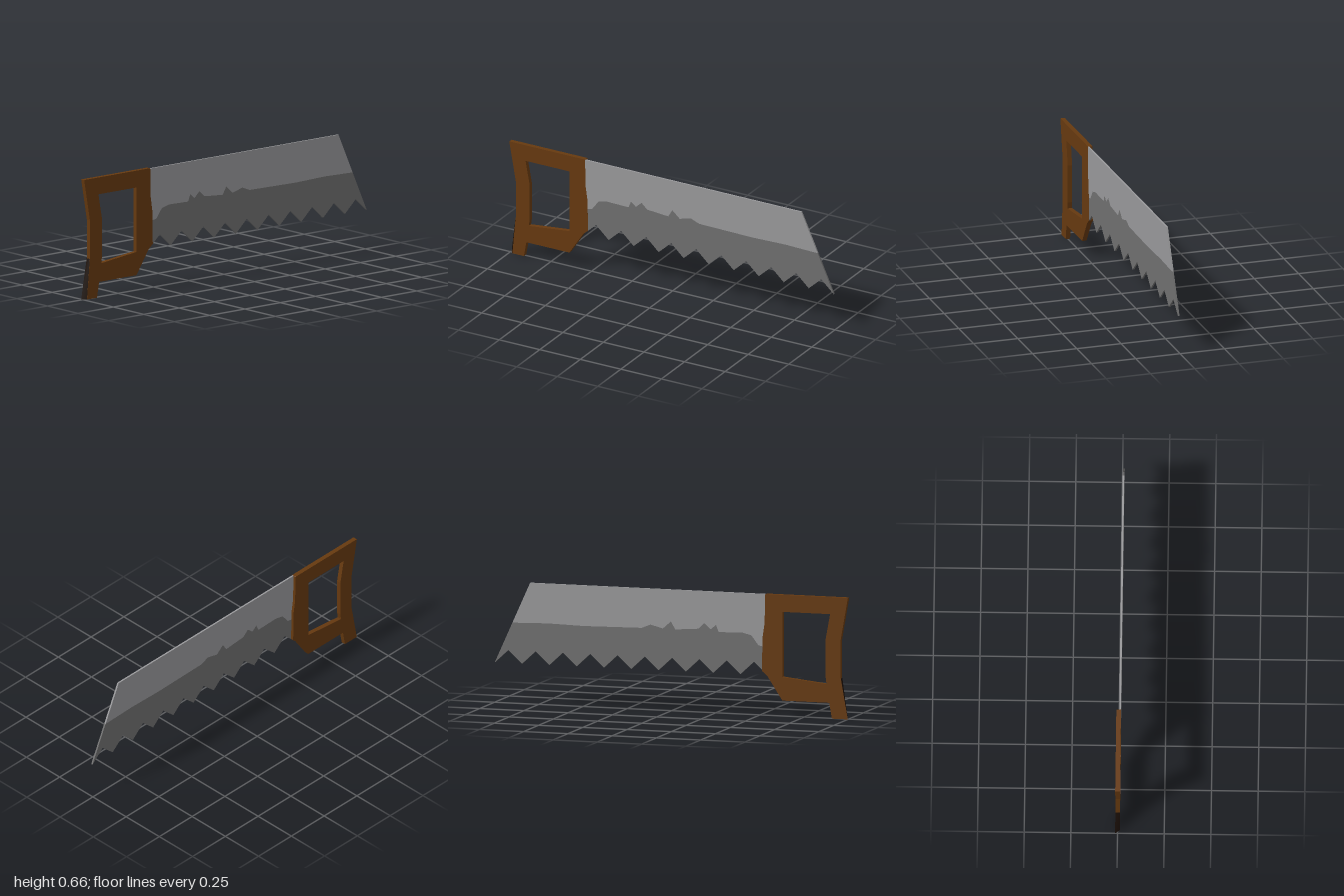
import * as THREE from 'three';

const FRONT = 0.0125, BACK = -0.0125, BLADE_BACK = 0.003;

function makeMaterial(name, color) {
  const m = new THREE.MeshStandardMaterial({ color });
  m.name = name;
  return m;
}

const toPoints = (list) => list.map(([x, y]) => new THREE.Vector2(x, y));

// Flat plate between two depths, cut from an outline with optional holes
function plate(outline, z0, z1, holes = []) {
  const shape = new THREE.Shape(toPoints(outline));
  for (const h of holes) shape.holes.push(new THREE.Path(toPoints(h)));
  const geo = new THREE.ExtrudeGeometry(shape, { depth: z1 - z0, bevelEnabled: false });
  return geo.translate(0, 0, z0);
}

export function createModel() {
  const wood = makeMaterial('brown wood', 0x66390f);
  const darkWood = makeMaterial('dark wood', 0x1c1008);
  const steel = makeMaterial('light steel', 0x98989a);
  const edgeSteel = makeMaterial('dark steel', 0x6f6f6f);
  const saw = new THREE.Group();
  saw.name = 'handSaw';

  const add = (name, geo, mat) => {
    const mesh = new THREE.Mesh(geo, mat);
    mesh.name = name;
    saw.add(mesh);
  };

  // Handle with a grip opening
  const handleEdge = [[-0.515, 0.24], [-0.518, 0.42], [-0.53, 0.5], [-0.533, 0.655]];
  const handle = plate([
    [-1, 0.657], [-1, 0.657 - 0.002], [-0.96, 0.43], [-0.96, 0.22], [-1, 0], [-0.91, 0],
    [-0.895, 0.085], [-0.63, 0.085], [-0.545, 0.215], ...handleEdge, [-0.535, 0.657],
  ], BACK, FRONT, [[
    [-0.9, 0.565], [-0.63, 0.565], [-0.63, 0.212], [-0.88, 0.185], [-0.875, 0.22], [-0.875, 0.43],
  ]]);

  // Pull the front corner of the spur inwards
  const pos = handle.attributes.position;
  for (let i = 0; i < pos.count; i++) {
    if (pos.getX(i) < -0.99 && pos.getY(i) < 0.01 && pos.getZ(i) > 0) pos.setX(i, -0.98);
  }
  handle.computeVertexNormals();
  add('handle', handle, wood);

  // Dark facet along the back of the spur
  const facet = new THREE.BufferGeometry();
  facet.setAttribute('position', new THREE.Float32BufferAttribute([
    -1.0, 0, BACK, -0.981, 0, FRONT, -0.961, 0.22, FRONT, -0.961, 0.22, BACK,
  ], 3));
  facet.setIndex([0, 1, 2, 0, 2, 3]);
  facet.computeVertexNormals();
  add('spurFacet', facet, darkWood);

  // Wavy line where the bright steel meets the darker cutting edge
  const wave = [
    [-0.517, 0.37], [-0.49, 0.375], [-0.45, 0.428], [-0.4, 0.44], [-0.265, 0.437],
    [-0.25, 0.475], [-0.22, 0.45], [-0.185, 0.482], [-0.15, 0.45], [-0.02, 0.44],
    [0.005, 0.482], [0.05, 0.442], [0.12, 0.46], [0.17, 0.44], [0.5, 0.435],
    [0.7, 0.44], [0.9, 0.435],
  ];

  // Upper blade
  add('upperBlade', plate([
    ...wave, [0.8, 0.655], [-0.533, 0.655], [-0.53, 0.5], [-0.518, 0.42],
  ], BLADE_BACK, FRONT), steel);

  // Toothed cutting edge
  const teeth = [[-0.515, 0.24]];
  for (let i = 0; i < 10; i++) {
    const tip = -0.388 + i * 0.1542;
    teeth.push([tip - 0.077, 0.286], [tip, 0.215]);
  }
  teeth[teeth.length - 1] = [1, 0.215];
  add('toothedEdge', plate([...teeth, ...wave.slice().reverse()], BLADE_BACK, FRONT), edgeSteel);

  return saw;
}
